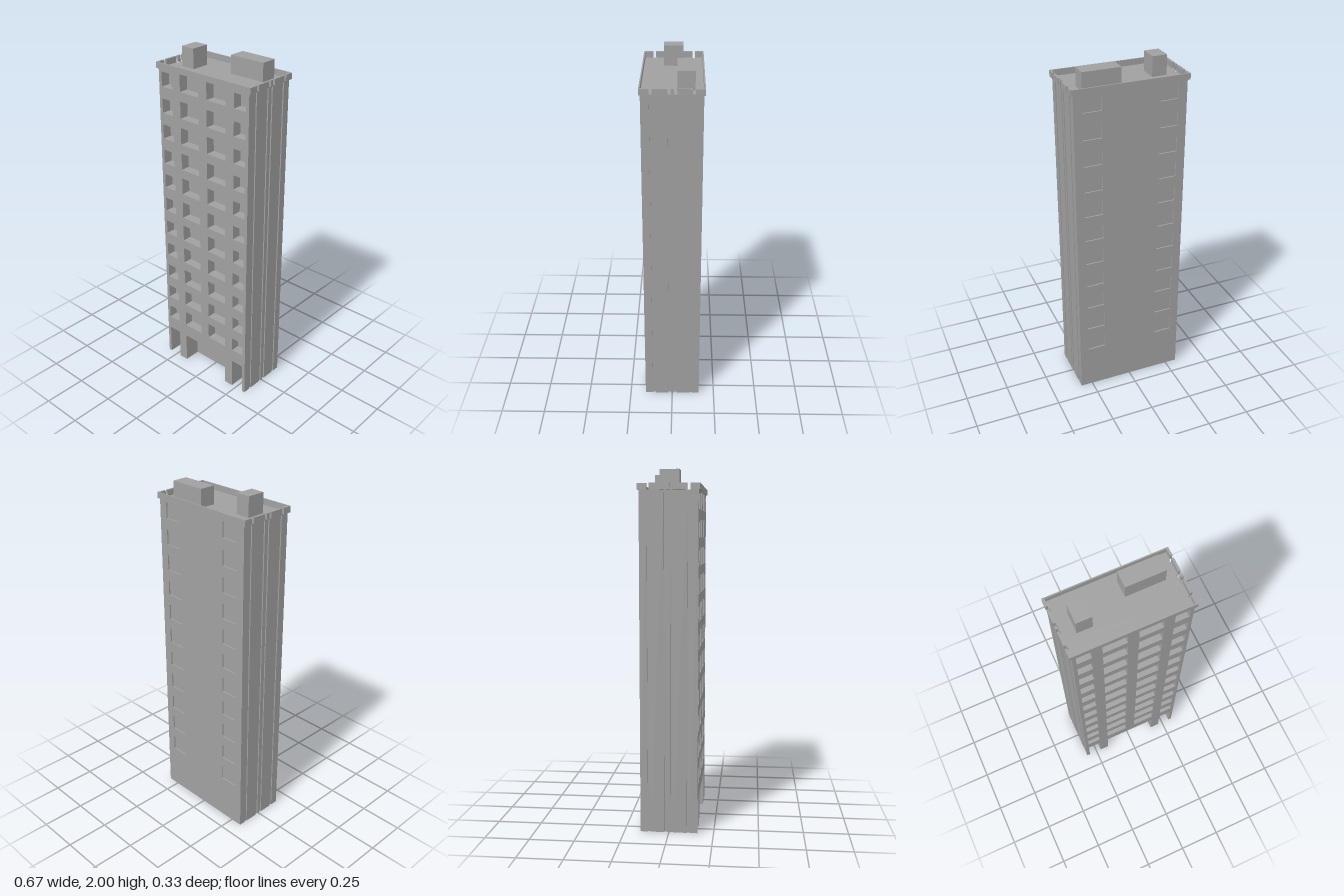
import * as THREE from 'three';

const ROOF = 1.888, TOP = 1.922;
const ROWS = 11, PITCH = 0.152;

export function createModel() {
  const group = new THREE.Group();
  const concrete = new THREE.MeshStandardMaterial({ color: 0xa0a0a0 });
  concrete.name = 'concrete grey';

  const add = (geometry, name) => {
    const mesh = new THREE.Mesh(geometry, concrete);
    mesh.name = name;
    group.add(mesh);
    return mesh;
  };
  // box given by its limits on each axis
  const box = (name, x0, x1, y0, y1, z0, z1) =>
    add(new THREE.BoxGeometry(x1 - x0, y1 - y0, z1 - z0), name)
      .position.set((x0 + x1) / 2, (y0 + y1) / 2, (z0 + z1) / 2);

  const hole = (x0, x1, y0, y1) => new THREE.Path([
    [x0, y0], [x0, y1], [x1, y1], [x1, y0],
  ].map(([x, y]) => new THREE.Vector2(x, y)));

  // wall outline, optionally with the ground-floor openings cut up from its base
  const W = 0.313, G = 0.186;
  const wallShape = (openings) => {
    const pts = [[-W, 0]];
    for (const [a, b] of openings) pts.push([a, 0], [a, G], [b, G], [b, 0]);
    pts.push([W, 0], [W, ROOF], [-W, ROOF]);
    return new THREE.Shape(pts.map(([x, y]) => new THREE.Vector2(x, y)));
  };
  const wall = (name, shape, z0, z1) => {
    const g = new THREE.ExtrudeGeometry(shape, { depth: z1 - z0, bevelEnabled: false });
    add(g.translate(0, 0, z0), name);
  };
  const ground = [[-0.3, -0.22], [-0.163, 0.163], [0.22, 0.3]];

  // front wall with window openings
  const front = wallShape(ground);
  // back wall with shallow window panels
  const back = wallShape([]);
  for (let i = 0; i < ROWS; i++) {
    const y = 0.268 + i * PITCH;
    for (const s of [-1, 1]) {
      const span = (a, b, h) => hole(Math.min(s * a, s * b), Math.max(s * a, s * b), y, y + h);
      front.holes.push(span(0.03, 0.163, 0.098), span(0.22, 0.3, 0.084));
      back.holes.push(span(0.165, 0.27, 0.088));
    }
  }
  wall('frontWall', front, 0.105, 0.16);
  wall('groundFloorPiers', wallShape(ground), 0.06, 0.105);
  wall('backWall', back, -0.16, -0.152);
  box('core', -W, W, 0, ROOF, -0.152, 0.06);

  // vertical side strips separated by narrow grooves, with the cornice above
  const strips = [[-0.16, -0.118], [-0.104, -0.026], [-0.01, 0.008], [0.022, 0.1], [0.116, 0.16]];
  for (const s of [-1, 1]) {
    const side = (name, a, b, y0, y1, z0, z1) =>
      box(name, Math.min(s * a, s * b), Math.max(s * a, s * b), y0, y1, z0, z1);
    for (const [z0, z1] of strips) {
      side('sideStrip', W, 0.32, 0, ROOF, z0, z1);
      side('sideCornice', 0.32, 0.333, ROOF, TOP, z0, z1);
    }
  }
  box('frontCornice', -0.333, 0.333, ROOF, TOP, 0.16, 0.167);
  box('backCornice', -0.333, 0.333, ROOF, TOP, -0.167, -0.16);

  // rooftop plant rooms
  box('smallRoofRoom', -0.247, -0.163, ROOF, 2, -0.055, 0.052);
  box('largeRoofRoom', 0.038, 0.255, ROOF, 1.99, -0.117, -0.025);
  return group;
}
